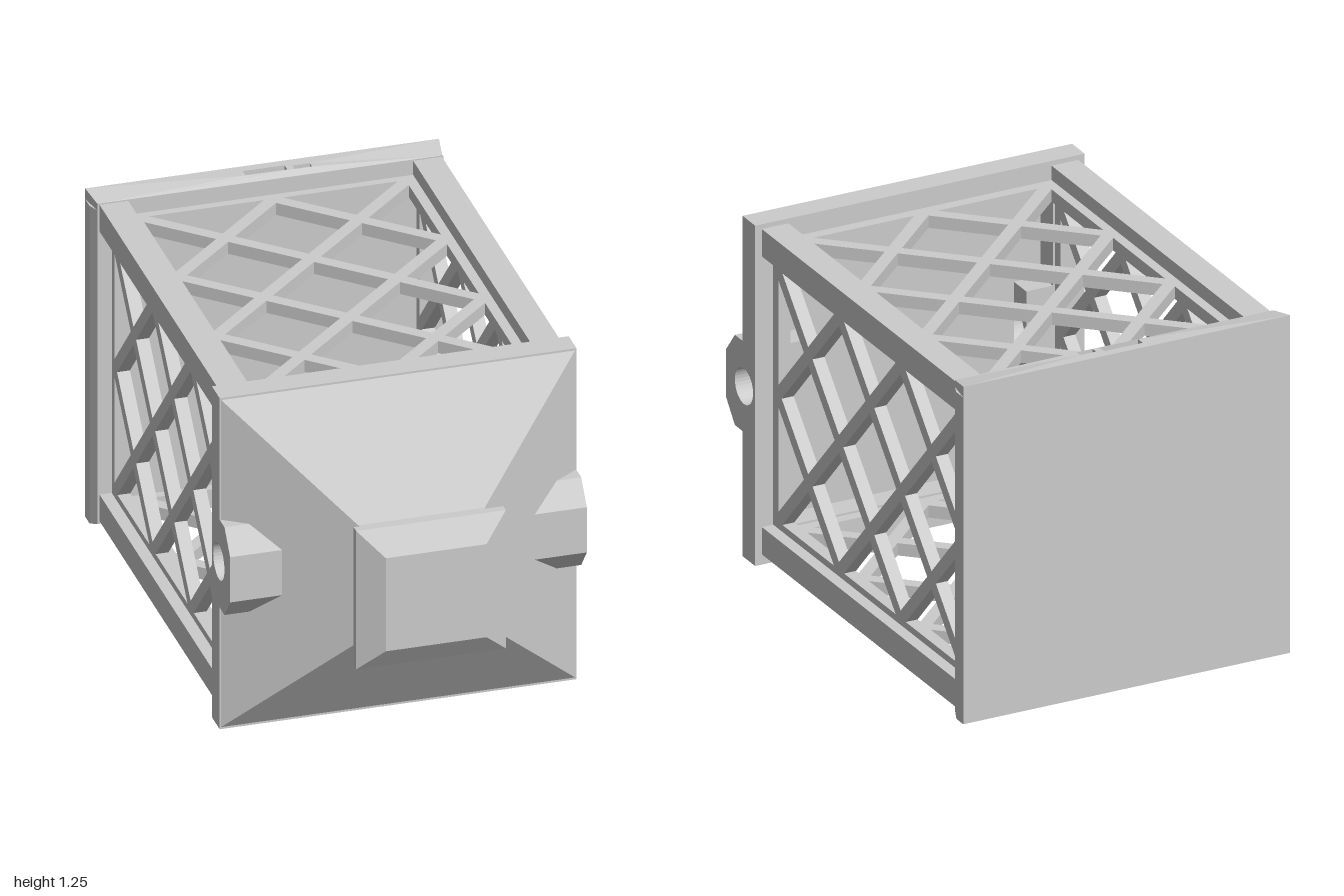
import * as THREE from 'three';

const C = 0.625; // height of the long axis
const mat = new THREE.MeshStandardMaterial({ color: 0xcccccc, flatShading: true, side: THREE.DoubleSide });

function add(parent, geo, name, x = 0, y = 0, z = 0) {
  const m = new THREE.Mesh(geo, mat);
  m.name = name;
  m.position.set(x, y, z);
  parent.add(m);
  return m;
}
const box = (w, h, d) => new THREE.BoxGeometry(w, h, d);
const poly = (pts) => new THREE.Shape(pts.map(([x, y]) => new THREE.Vector2(x, y)));
const rect = (x0, y0, x1, y1) => poly([[x0, y0], [x1, y0], [x1, y1], [x0, y1]]);

function moveVertices(geo, rule) {
  const p = geo.attributes.position, v = new THREE.Vector3();
  for (let i = 0; i < p.count; i++) {
    rule(v.fromBufferAttribute(p, i));
    p.setXYZ(i, v.x, v.y, v.z);
  }
  geo.computeVertexNormals();
  return geo;
}

// Diamond lattice with its thin border, lying in the top plane
function latticePanel() {
  const g = new THREE.Group();
  g.name = 'latticePanel';
  const y = 0.53, t = 0.045, du = 0.22, dv = 0.2325;
  for (const s of [-1, 1]) {
    add(g, box(0.045, t, 1.38), 'panelSideRail', s * 0.4825, y, -0.22);
    // diagonals run from one border of the opening to another
    for (let c = 0; c <= 6; c += 2) {
      const u0 = Math.max(0, c - 2), u1 = Math.min(6, c + 2);
      const a = new THREE.Vector3(s * (u0 - c) * dv, y, 0.44 - u0 * du);
      const b = new THREE.Vector3(s * (u1 - c) * dv, y, 0.44 - u1 * du);
      const bar = add(g, box(0.045, t, a.distanceTo(b)), 'latticeBar');
      bar.position.lerpVectors(a, b, 0.5);
      bar.rotation.y = Math.atan2(b.x - a.x, b.z - a.z);
    }
  }
  add(g, box(0.96, t, 0.04), 'panelFrontRail', 0, y, 0.45);
  add(g, box(0.96, t, 0.035), 'panelBackRail', 0, y, -0.8975);
  return g;
}

// One sloping side of the cap; the lug sides are notched
function capSide(notched) {
  const notch = [[-0.165, 0.56], [-0.165, 0.615], [-0.085, 0.68], [0.085, 0.68], [0.165, 0.615], [0.165, 0.56]];
  const shape = poly([[-0.615, 0.56], ...(notched ? notch : []), [0.615, 0.56], [0.22, 0.83], [-0.22, 0.83]]);
  return moveVertices(new THREE.ShapeGeometry(shape), (v) => v.set(v.x, 0.615 - (v.y - 0.56) * 1.463, v.y));
}

export function createModel() {
  const model = new THREE.Group();
  model.name = 'lantern';
  const body = new THREE.Group();
  body.name = 'body';
  body.position.y = C;
  model.add(body);

  // Four corner posts
  for (const x of [-0.545, 0.545]) for (const y of [-0.535, 0.555])
    add(body, box(0.1, 0.1, 1.45), 'cornerPost', x, y, -0.19);

  // Lattice panels and cap slopes, turned around the axis
  for (let i = 0; i < 4; i++) {
    const panel = latticePanel();
    panel.rotation.z = i * Math.PI / 2;
    body.add(panel);
    add(body, capSide(i % 2 === 1), 'capSlope').rotation.z = i * Math.PI / 2;
  }

  // Cap flange ring
  const ring = rect(-0.62, -0.6225, 0.62, 0.6225);
  // leave gaps for the lugs at both sides
  ring.holes.push(poly([[-0.5, -0.5], [0.5, -0.5], [0.5, -0.165], [0.6199, -0.165], [0.6199, 0.165],
    [0.5, 0.165], [0.5, 0.5], [-0.5, 0.5], [-0.5, 0.165], [-0.6199, 0.165], [-0.6199, -0.165], [-0.5, -0.165]]));
  const ringParts = new THREE.Group();
  ringParts.name = 'capFlange';
  body.add(ringParts);
  for (const s of [-1, 1]) {
    add(ringParts, box(1.24, 0.1225, 0.09), 'flangeRail', 0, s * 0.56125, 0.515);
    for (const k of [-1, 1]) add(ringParts, box(0.12, 0.335, 0.09), 'flangeSide', s * 0.56, k * 0.3325, 0.515);
  }

  // Flat ceiling inside the cap, cut back around the lugs
  add(body, new THREE.ShapeGeometry(poly([[-0.5, -0.5], [0.5, -0.5], [0.5, -0.165], [0.4, -0.165],
    [0.4, 0.165], [0.5, 0.165], [0.5, 0.5], [-0.5, 0.5], [-0.5, 0.165], [-0.4, 0.165],
    [-0.4, -0.165], [-0.5, -0.165]])), 'capCeiling', 0, 0, 0.559);

  // Side lugs with round holes, shape drawn in (-z, y)
  const lug = poly([[-0.47, -0.165], [-0.47, 0.165], [-0.615, 0.165], [-0.68, 0.085], [-0.68, -0.085], [-0.615, -0.165]]);
  lug.holes.push(new THREE.Path().absarc(-0.55, 0.003, 0.065, 0, Math.PI * 2));
  for (const x of [-0.62, 0.4]) {
    const geo = new THREE.ExtrudeGeometry(lug, { depth: 0.22, bevelEnabled: false, curveSegments: 16 });
    add(body, geo.rotateY(Math.PI / 2), 'sideLug', x, 0, 0);
  }

  // Square stepped finial on the tip
  const profile = [[0.22, 0.82], [0.22, 0.88], [0.26, 0.91], [0.26, 0.94], [0.175, 1], [0, 1]]
    .map(([r, h]) => new THREE.Vector2(r * Math.SQRT2, h));
  add(body, new THREE.LatheGeometry(profile, 4, Math.PI / 4).rotateX(Math.PI / 2), 'finial');

  // Back plate with a chamfered inner rim and two slots in its top edge
  const chamfer = (v) => {
    if (v.z < -0.92) return;
    v.x *= 0.975;
    if (v.y > 1.24) v.y -= 0.015;
    if (v.y < 0.03) v.y += 0.015;
  };
  const base = new THREE.BoxGeometry(1.23, 1.195, 0.05).translate(-0.003, 0.6125, -0.975);
  add(model, base, 'backPlate');
  add(model, moveVertices(new THREE.BoxGeometry(1.23, 1.195, 0.04).translate(-0.003, 0.6125, -0.93), chamfer), 'backPlateRim');
  const strip = rect(-0.618, 0.91, 0.612, 1);
  strip.holes.push(rect(-0.08, 0.935, 0.065, 0.967), rect(0.09, 0.932, 0.15, 0.957));
  const edge = new THREE.ExtrudeGeometry(strip, { depth: 0.04, bevelEnabled: false });
  edge.rotateX(-Math.PI / 2).translate(0, 1.21, 0);
  add(model, moveVertices(edge, chamfer), 'backPlateTopEdge');
  return model;
}
